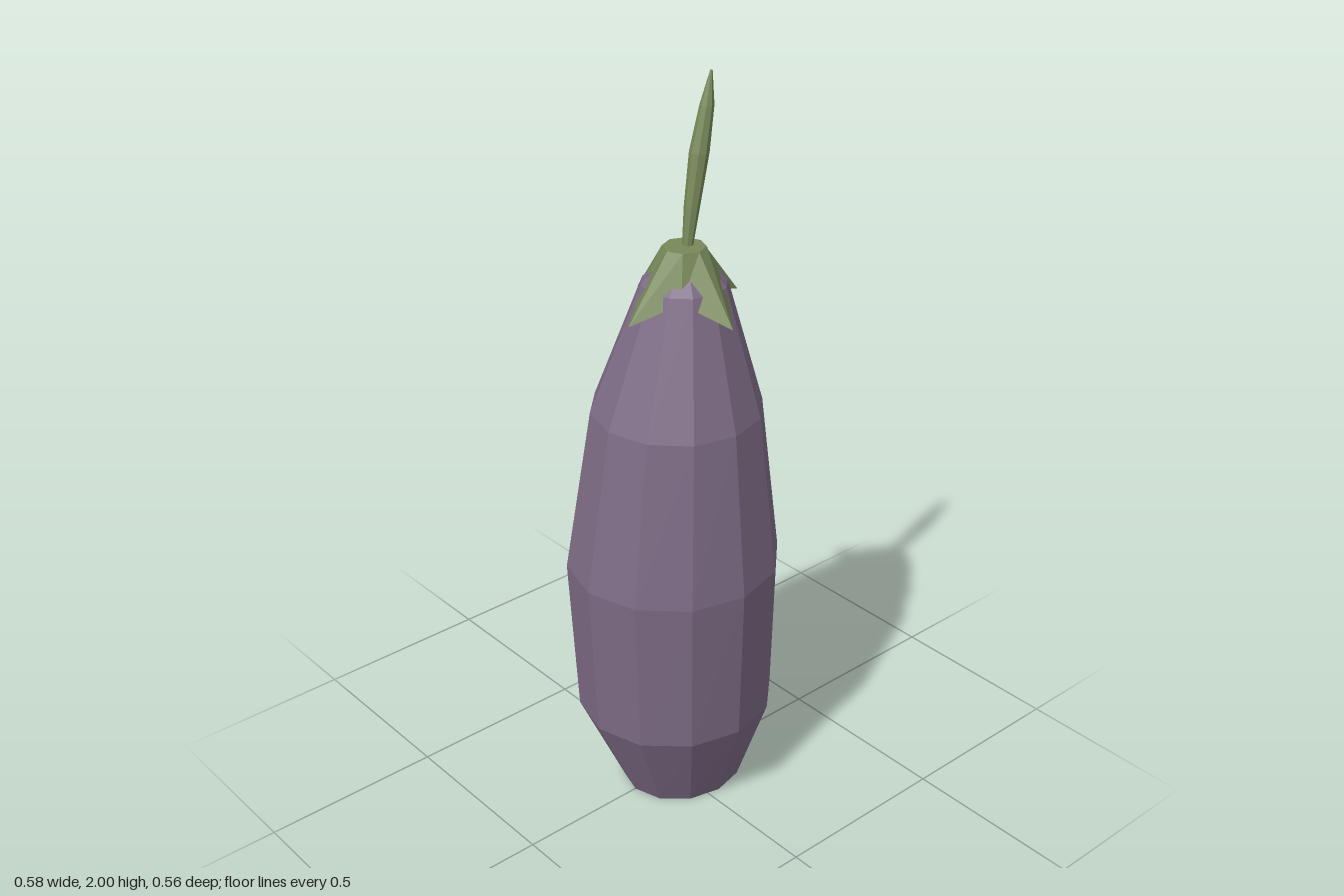
import * as THREE from 'three';

// Horizontal ring of points; radius and height may vary with the index
function ring(sides, cx, cz, point) {
  return Array.from({ length: sides }, (_, i) => {
    const a = (i / sides) * Math.PI * 2;
    const [rx, rz, y] = point(i);
    return new THREE.Vector3(cx + rx * Math.cos(a), y, cz + rz * Math.sin(a));
  });
}

// Faceted skin through the rings, from bottom to top, with optional flat caps
function loft(rings, capBottom, capTop) {
  const pts = [];
  const n = rings[0].length;
  const centre = (r) => r.reduce((s, p) => s.add(p), new THREE.Vector3()).divideScalar(n);
  const first = rings[0], last = rings[rings.length - 1];
  for (let i = 0; i < n; i++) {
    const j = (i + 1) % n;
    for (let k = 0; k < rings.length - 1; k++) {
      const lo = rings[k], hi = rings[k + 1];
      pts.push(lo[i], hi[i], lo[j], lo[j], hi[i], hi[j]);
    }
    if (capBottom) pts.push(centre(first), first[i], first[j]);
    if (capTop) pts.push(centre(last), last[j], last[i]);
  }
  const geometry = new THREE.BufferGeometry().setFromPoints(pts);
  geometry.computeVertexNormals(); // unshared corners give flat facets
  return geometry;
}

export function createModel() {
  const purple = new THREE.MeshStandardMaterial({ color: 0x7d6b85 });
  purple.name = 'aubergine purple';
  const green = new THREE.MeshStandardMaterial({ color: 0x778859, side: THREE.DoubleSide });
  green.name = 'leaf green';

  const group = new THREE.Group();
  group.name = 'aubergine';
  const add = (name, geometry, material) => {
    const mesh = new THREE.Mesh(geometry, material);
    mesh.name = name;
    group.add(mesh);
  };

  // Fruit: twelve-sided, slightly bent; y, centre x, radius x, radius z
  const fruit = [
    [0, 0.035, 0.175, 0.155],
    [0.27, 0.01, 0.274, 0.257],
    [0.715, 0, 0.288, 0.278],
    [1.155, 0.012, 0.224, 0.223],
    [1.49, 0.036, 0.11, 0.11],
    [1.548, 0.036, 0.055, 0.055],
  ].map(([y, cx, rx, rz]) => ring(12, cx, 0, () => [rx, rz, y]));
  add('fruit', loft(fruit, true, true), purple);

  // Calyx: octagonal crown flaring into four pointed leaves
  const calyx = [
    ring(8, 0.036, 0, (i) => (i % 2 ? [0.105, 0.105, 1.475] : [0.18, 0.18, 1.42])),
    ring(8, 0.036, 0, () => [0.055, 0.055, 1.585]),
  ];
  add('calyx', loft(calyx, false, true), green);

  // Stem: leaning spindle; y, centre x, centre z, radius
  const stem = [
    [1.57, 0.045, 0, 0.013],
    [1.68, 0.064, -0.004, 0.02],
    [1.81, 0.091, -0.009, 0.025],
    [1.92, 0.118, -0.013, 0.018],
    [2, 0.134, -0.016, 0.003],
  ].map(([y, cx, cz, r]) => ring(8, cx, cz, () => [r, r, y]));
  add('stem', loft(stem, true, true), green);

  return group;
}
